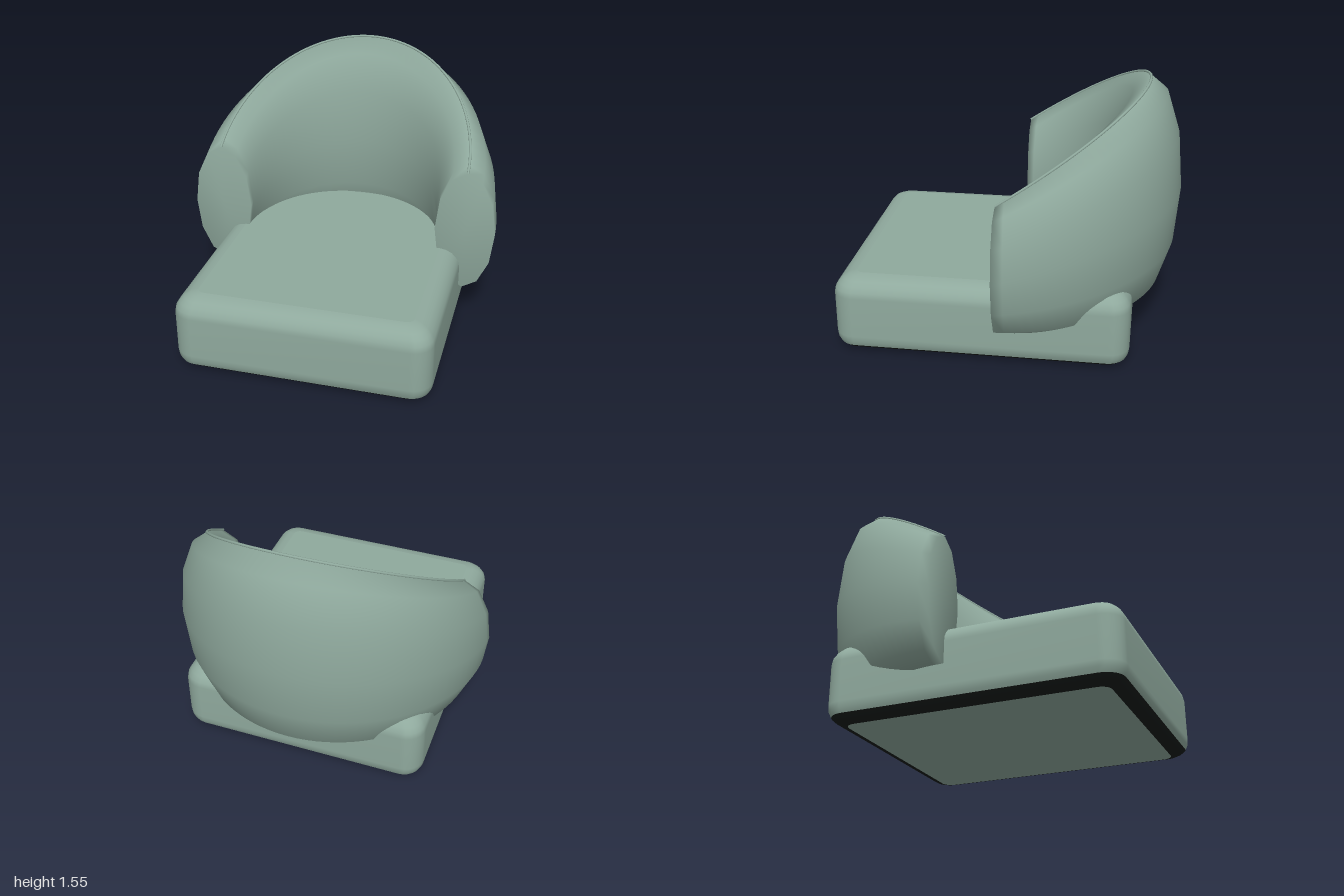
import * as THREE from 'three';

const fabric = new THREE.MeshStandardMaterial({ color: 0x8fa99d });
fabric.name = 'sage fabric';
const dark = new THREE.MeshStandardMaterial({ color: 0x171c1a });
dark.name = 'dark trim';

// Grid of points [row][column] to a smooth surface; optional fans close the first and last rows
function loft(rows, closed, capFirst, capLast) {
  const n = rows[0].length, pos = rows.flat(2), idx = [];
  for (let r = 0; r < rows.length - 1; r++) {
    for (let c = 0; c < (closed ? n : n - 1); c++) {
      const d = (c + 1) % n;
      const a = r * n + c, b = r * n + d, e = a + n, f = b + n;
      idx.push(a, b, f, a, f, e);
    }
  }
  const cap = (r, flip) => {
    const centre = [0, 1, 2].map(k => rows[r].reduce((s, p) => s + p[k], 0) / n);
    const m = pos.length / 3;
    pos.push(...centre);
    for (let c = 0; c < n; c++) {
      const a = r * n + c, b = r * n + (c + 1) % n;
      if (flip) idx.push(m, b, a); else idx.push(m, a, b);
    }
  };
  if (capFirst) cap(0, true);
  if (capLast) cap(rows.length - 1, false);
  const g = new THREE.BufferGeometry();
  g.setAttribute('position', new THREE.Float32BufferAttribute(pos, 3));
  g.setIndex(idx);
  g.computeVertexNormals();
  return g;
}

// Rounded rectangle ring, counter-clockwise seen from above
function seatRing(inset, y) {
  const hx = 0.76 - inset, z0 = -0.74 + inset, z1 = 1 - inset;
  const r = Math.max(0.03, 0.12 - inset * 0.6), pts = [];
  const corners = [[hx - r, z1 - r, -90], [hx - r, z0 + r, 0], [-hx + r, z0 + r, 90], [-hx + r, z1 - r, 180]];
  for (const [cx, cz, start] of corners) {
    for (let i = 0; i <= 6; i++) {
      const a = (start + i * 15) * Math.PI / 180;
      pts.push([cx + r * Math.cos(a), y, cz - r * Math.sin(a)]);
    }
  }
  return pts;
}

export function createModel() {
  const group = new THREE.Group();
  const add = (name, geometry, material) => {
    const mesh = new THREE.Mesh(geometry, material);
    mesh.name = name;
    group.add(mesh);
  };

  // Seat cushion with soft upper edge
  const profile = [[0.017, 0.045], [0.004, 0.075], [0, 0.11], [0, 0.36], [0.007, 0.395], [0.025, 0.425],
    [0.05, 0.45], [0.085, 0.468], [0.125, 0.475]];
  add('seatCushion', loft(profile.map(p => seatRing(...p)), true, false, false), fabric);
  add('seatTop', loft([seatRing(0.125, 0.475), seatRing(0.3, 0.475)], true, false, true), fabric);

  // Dark bevel under the cushion, and the flat underside
  const bevel = [[0.1, 0.003], [0.06, 0.014], [0.035, 0.028], [0.017, 0.045]];
  add('bottomTrim', loft(bevel.map(p => seatRing(...p)), true, false, false), dark);
  add('underside', loft([seatRing(0.11, 0), seatRing(0.1, 0.003)], true, true, false), fabric);

  // Wraparound back: an oval section swept round a half circle, growing taller to the rear
  const rows = [], ridge = [];
  const steps = 48, sides = 12, bottom = 0.22;
  for (let i = 0; i <= steps; i++) {
    const t = Math.PI * i / steps, s = Math.sin(t);
    const half = 0.39 + 0.27 * s;
    const at = (dr, y) => [(0.78 + dr * 0.185) * Math.cos(t), y, 0.02 - (0.805 + dr * 0.21) * s];
    const row = [];
    for (let k = 0; k < sides; k++) {
      const a = 2 * Math.PI * k / sides;
      row.push(at(Math.sin(a), bottom + half + half * Math.cos(a)));
    }
    rows.push(row);
    ridge.push(new THREE.Vector3(...at(0, bottom + 2 * half)));
  }
  add('wraparoundBack', loft(rows, true, true, true), fabric);

  // Thin piping along the ridge
  const path = new THREE.CatmullRomCurve3(ridge);
  add('ridgePiping', new THREE.TubeGeometry(path, 72, 0.008, 8, false), fabric);

  return group;
}
